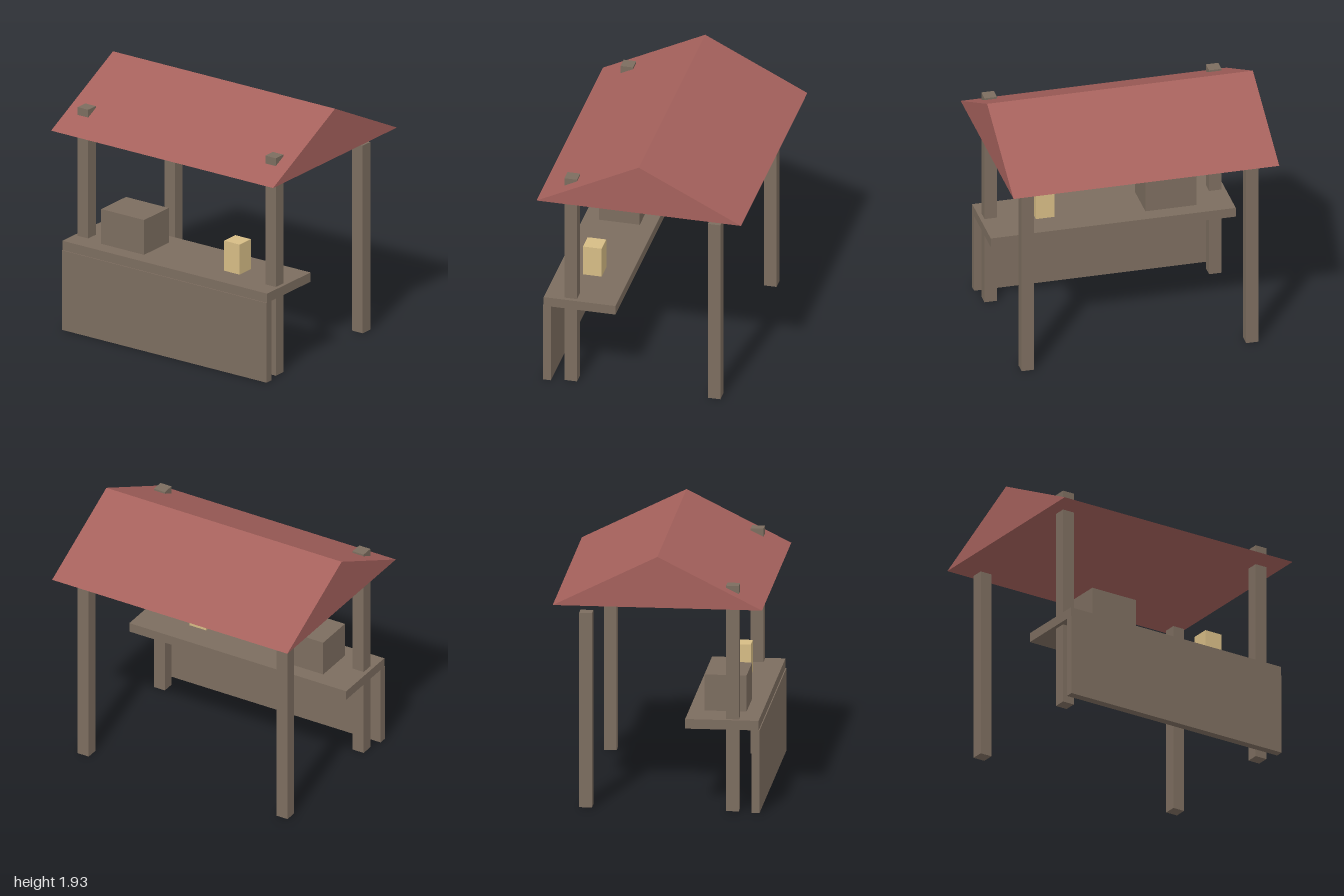
import * as THREE from 'three';

export function createModel() {
  const group = new THREE.Group();
  const mat = (name, color) => {
    const m = new THREE.MeshStandardMaterial({ color });
    m.name = name;
    return m;
  };
  const wood = mat('brown wood', 0x7c6d5f);
  const red = mat('roof red', 0xa5615c);
  const cream = mat('cream', 0xd6bc85);

  // Box given by its extents along each axis
  const box = (name, material, [x0, x1], [y0, y1], [z0, z1]) => {
    const mesh = new THREE.Mesh(new THREE.BoxGeometry(x1 - x0, y1 - y0, z1 - z0), material);
    mesh.position.set((x0 + x1) / 2, (y0 + y1) / 2, (z0 + z1) / 2);
    mesh.name = name;
    group.add(mesh);
  };

  // Posts: the front pair pokes through the roof, the back pair stops below it
  for (const [side, x] of [['left', 0.845], ['right', -0.845]]) {
    const xs = [x - 0.047, x + 0.047];
    box(side + 'FrontPost', wood, xs, [0, 1.695], [0.491, 0.585]);
    box(side + 'BackPost', wood, xs, [0, 1.462], [-0.585, -0.491]);
  }

  // Counter
  box('frontPanel', wood, [-0.922, 0.922], [0, 0.62], [0.68, 0.74]);
  box('counterTop', wood, [-0.922, 0.922], [0.62, 0.692], [0.195, 0.733]);

  // Goods on the counter
  box('crate', wood, [-0.657, -0.272], [0.692, 0.963], [0.31, 0.617]);
  box('creamBox', cream, [0.39, 0.53], [0.692, 0.926], [0.396, 0.536]);

  // Solid gable roof, extruded along x
  const gable = new THREE.Shape([
    new THREE.Vector2(-0.767, 1.543),
    new THREE.Vector2(0.767, 1.543),
    new THREE.Vector2(0, 1.926),
  ]);
  const roofGeometry = new THREE.ExtrudeGeometry(gable, { depth: 2, bevelEnabled: false });
  roofGeometry.translate(0, 0, -1).rotateY(Math.PI / 2);
  const roof = new THREE.Mesh(roofGeometry, red);
  roof.name = 'roof';
  group.add(roof);

  return group;
}
